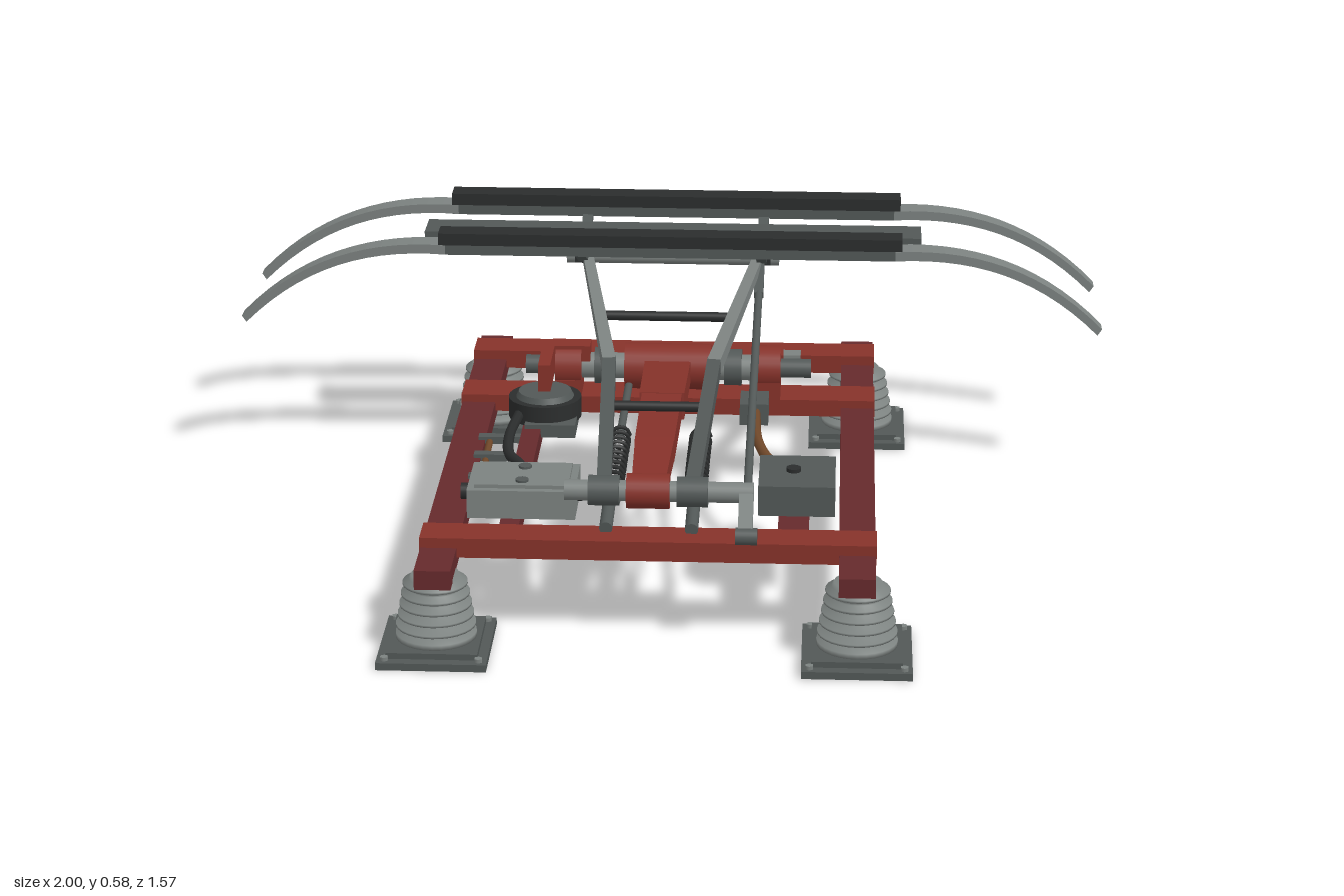
import * as THREE from 'three';

const mat = (name, color) => {
  const m = new THREE.MeshStandardMaterial({ color, side: THREE.DoubleSide });
  m.name = name;
  return m;
};
const V = (x, y, z) => new THREE.Vector3(x, y, z);

export function createModel() {
  const root = new THREE.Group();
  root.name = 'currentCollector';
  const red = mat('frameRed', 0x86322a);
  const darkRed = mat('railRed', 0x652a2c);
  const grey = mat('steelGrey', 0x525857);
  const light = mat('lightSteel', 0x7c8280);
  const black = mat('black', 0x2b2d2d);
  const copper = mat('copperBrown', 0x70482a);

  const add = (name, geo, m, parent = root) => {
    const mesh = new THREE.Mesh(geo, m);
    mesh.name = name;
    parent.add(mesh);
    return mesh;
  };
  // Box given by its limits on each axis
  const box = (name, m, x0, x1, y0, y1, z0, z1) =>
    add(name, new THREE.BoxGeometry(x1 - x0, y1 - y0, z1 - z0), m)
      .position.set((x0 + x1) / 2, (y0 + y1) / 2, (z0 + z1) / 2);
  // Round rod between two points
  const rod = (name, m, a, b, r, r2 = r, sides = 16) => {
    const d = b.clone().sub(a);
    const mesh = add(name, new THREE.CylinderGeometry(r2, r, d.length(), sides), m);
    mesh.position.copy(a).add(b).multiplyScalar(0.5);
    mesh.quaternion.setFromUnitVectors(V(0, 1, 0), d.normalize());
  };
  // Tapered rectangular beam between two points, w x h at a, w2 x h2 at b
  const beam = (name, m, a, b, w, h, w2 = w, h2 = h) => {
    const len = a.distanceTo(b);
    const geo = new THREE.BoxGeometry(w, h, len);
    const p = geo.attributes.position;
    for (let i = 0; i < p.count; i++) {
      if (p.getZ(i) > 0) p.setXY(i, p.getX(i) * w2 / w, p.getY(i) * h2 / h);
    }
    geo.computeVertexNormals();
    const mesh = add(name, geo, m);
    mesh.position.copy(a).add(b).multiplyScalar(0.5);
    mesh.lookAt(b);
  };
  const hose = (name, m, pts, r) =>
    add(name, new THREE.TubeGeometry(new THREE.CatmullRomCurve3(pts), 32, r, 8), m);
  const shaft = (name, m, x0, x1, y, z, r) => rod(name, m, V(x0, y, z), V(x1, y, z), r, r, 24);

  // Ribbed insulators on square feet
  const profile = [[0, 0.028], [0.085, 0.028], [0.085, 0.04], [0.06, 0.045]];
  for (let i = 0; i < 5; i++) {
    const y = 0.052 + i * 0.023, r = 0.084 - i * 0.004;
    profile.push([0.055, y], [r, y + 0.003], [r, y + 0.008], [0.055, y + 0.016]);
  }
  profile.push([0.05, 0.168], [0, 0.168]);
  const insulatorGeo = new THREE.LatheGeometry(profile.map(p => new THREE.Vector2(...p)), 28);
  for (const sx of [-1, 1]) for (const sz of [-1, 1]) {
    const x = sx * 0.44, z = sz * 0.66;
    box('footPlate', grey, x - 0.115, x + 0.115, 0, 0.016, z - 0.123, z + 0.123);
    box('footStep', grey, x - 0.095, x + 0.095, 0.016, 0.029, z - 0.1, z + 0.1);
    add('insulator', insulatorGeo, light).position.set(x, 0, z);
    for (const bx of [-1, 1]) for (const bz of [-1, 1]) {
      const c = V(x + bx * 0.098, 0.014, z + bz * 0.106);
      rod('footBolt', light, c, c.clone().setY(0.024), 0.009, 0.009, 6);
    }
  }

  // Base frame
  for (const s of [-1, 1]) box('sideRail', darkRed, s * 0.438 - 0.038, s * 0.438 + 0.038, 0.162, 0.204, -0.735, 0.735);
  box('frontCrossBeam', red, -0.478, 0.478, 0.183, 0.226, 0.525, 0.61);
  box('middleCrossBeam', red, -0.478, 0.478, 0.183, 0.222, -0.37, -0.27);
  box('rearCrossBeam', red, -0.478, 0.478, 0.183, 0.226, -0.655, -0.565);
  box('boxSupport', darkRed, 0.27, 0.335, 0.175, 0.215, 0.09, 0.53);
  box('drumSupport', darkRed, -0.32, -0.278, 0.175, 0.215, -0.28, 0.53);

  // Main pivot
  shaft('pivotDrum', red, -0.1, 0.1, 0.284, -0.315, 0.053);
  shaft('pivotShaft', light, -0.25, 0.25, 0.284, -0.315, 0.03);
  for (const s of [-1, 1]) {
    shaft('pivotCollar', grey, s * 0.13, s * 0.17, 0.284, -0.315, 0.042);
    box('pivotBearing', red, s * 0.23 - 0.03, s * 0.23 + 0.03, 0.215, 0.262, -0.365, -0.265);
    shaft('bearingRing', red, s * 0.2, s * 0.26, 0.284, -0.315, 0.052);
    shaft('shaftEnd', grey, s * 0.25, s * 0.33, 0.284, -0.315, 0.022);
  }

  // Lower arm with its knee
  beam('lowerArmRoot', red, V(0, 0.284, -0.3), V(0, 0.302, 0), 0.106, 0.05, 0.1, 0.062);
  beam('lowerArmMiddle', red, V(0, 0.303, -0.02), V(0, 0.318, 0.32), 0.09, 0.056, 0.085, 0.05);
  beam('lowerArmTip', red, V(0, 0.318, 0.3), V(0, 0.325, 0.57), 0.085, 0.05, 0.07, 0.04);
  shaft('kneeHub', red, -0.045, 0.045, 0.325, 0.57, 0.037);
  shaft('kneeShaft', light, -0.175, 0.22, 0.325, 0.57, 0.022);
  for (const s of [-1, 1]) shaft('kneeSleeve', grey, s * 0.06, s * 0.125, 0.325, 0.57, 0.032);

  // Upper arm tubes and cross ties
  for (const s of [-1, 1]) {
    beam('upperArmFront', grey, V(s * 0.092, 0.332, 0.58), V(s * 0.117, 0.403, 0), 0.03, 0.036);
    beam('upperArmRear', light, V(s * 0.117, 0.403, 0.01), V(s * 0.2, 0.474, -0.53), 0.03, 0.034, 0.024, 0.022);
    // Head links
    beam('headLinkFront', grey, V(s * 0.21, 0.475, -0.53), V(s * 0.21, 0.535, -0.39), 0.024, 0.018);
    beam('headLinkRear', grey, V(s * 0.21, 0.475, -0.55), V(s * 0.21, 0.535, -0.7), 0.024, 0.018);
    box('headPost', black, s * 0.21 - 0.02, s * 0.21 + 0.02, 0.465, 0.515, -0.56, -0.52);
  }
  shaft('frontTie', black, -0.1, 0.1, 0.376, 0.2, 0.011);
  shaft('rearTie', black, -0.15, 0.15, 0.43, -0.245, 0.011);
  shaft('headShaft', light, -0.25, 0.25, 0.478, -0.54, 0.018);

  // Guide rod and its crank
  beam('guideCrank', light, V(0.205, 0.325, 0.57), V(0.205, 0.268, 0.67), 0.03, 0.032);
  shaft('crankPin', grey, 0.185, 0.23, 0.268, 0.67, 0.018);
  rod('guideRod', grey, V(0.205, 0.268, 0.67), V(0.205, 0.43, -0.44), 0.009);
  beam('guideRodLink', grey, V(0.205, 0.425, -0.42), V(0.205, 0.478, -0.54), 0.022, 0.018);

  // Collector head: centre beam, strips, carriers and curved horns
  box('headBeam', grey, -0.582, 0.582, 0.505, 0.543, -0.596, -0.5);
  const horn = new THREE.Shape();
  horn.moveTo(0.52, 0.555);
  horn.bezierCurveTo(0.7, 0.565, 0.86, 0.515, 1, 0.372);
  horn.lineTo(0.99, 0.357);
  horn.bezierCurveTo(0.85, 0.497, 0.7, 0.543, 0.52, 0.533);
  const hornGeo = new THREE.ExtrudeGeometry(horn, { depth: 0.06, bevelEnabled: false, curveSegments: 14 });
  hornGeo.translate(0, 0, -0.03);
  const hp = hornGeo.attributes.position;
  for (let i = 0; i < hp.count; i++) {
    hp.setZ(i, hp.getZ(i) * (1 - 0.35 * (hp.getX(i) - 0.52) / 0.48));
  }
  hornGeo.computeVertexNormals();
  for (const z of [-0.388, -0.702]) {
    box('contactStrip', black, -0.535, 0.535, 0.555, 0.583, z - 0.029, z + 0.029);
    box('stripCarrier', grey, -0.535, 0.535, 0.531, 0.555, z - 0.025, z + 0.025);
    for (const s of [0, 1]) {
      const h = add('horn', hornGeo, light);
      h.position.z = z;
      h.rotation.y = s * Math.PI;
    }
  }

  // Lifting springs beneath the arms
  for (const s of [-1, 1]) {
    const pts = [];
    for (let i = 0; i <= 96; i++) {
      const a = i / 8 * Math.PI * 2;
      pts.push(V(s * 0.09 + 0.022 * Math.cos(a), 0.25 + 0.022 * Math.sin(a), 0.05 + 0.36 * i / 96));
    }
    add('spring', new THREE.TubeGeometry(new THREE.CatmullRomCurve3(pts), 240, 0.0045, 5), black);
    rod('springRod', grey, V(s * 0.09, 0.25, -0.29), V(s * 0.09, 0.25, 0.06), 0.009);
    rod('springAnchor', grey, V(s * 0.09, 0.25, 0.4), V(s * 0.09, 0.235, 0.56), 0.014);
  }

  // Equipment boxes
  box('valveBox', light, -0.39, -0.16, 0.222, 0.285, 0.32, 0.485);
  box('valveBoxLid', light, -0.375, -0.175, 0.285, 0.293, 0.335, 0.47);
  shaft('valveBoxPort', black, -0.41, -0.15, 0.25, 0.4, 0.018);
  for (const z of [0.365, 0.445]) rod('lidBolt', grey, V(-0.275, 0.29, z), V(-0.275, 0.298, z), 0.014);
  box('controlBox', grey, 0.226, 0.39, 0.215, 0.282, 0.24, 0.425);
  rod('controlBoxKnob', black, V(0.3, 0.28, 0.33), V(0.3, 0.29, 0.33), 0.016);

  // Air drum and its bracket
  box('drumBase', grey, -0.315, -0.2, 0.195, 0.225, -0.25, -0.07);
  rod('airDrum', black, V(-0.275, 0.215, -0.165), V(-0.275, 0.262, -0.165), 0.083, 0.083, 32);
  rod('airDrumCap', grey, V(-0.275, 0.262, -0.165), V(-0.275, 0.275, -0.165), 0.066, 0.06, 32);
  box('drumBracket', red, -0.29, -0.262, 0.275, 0.338, -0.33, -0.155);
  box('drumBracketArm', red, -0.27, -0.18, 0.3, 0.338, -0.34, -0.29);

  // Damper at the rear
  rod('damperRod', light, V(0.285, 0.285, -0.34), V(0.285, 0.258, -0.45), 0.009);
  rod('damper', grey, V(0.285, 0.262, -0.43), V(0.285, 0.21, -0.56), 0.02);
  box('damperClevis', light, 0.265, 0.305, 0.27, 0.295, -0.41, -0.37);
  box('pipeBlock', grey, 0.17, 0.235, 0.2, 0.25, -0.25, -0.16);

  // Hoses, pipes and clips
  hose('airHose', black, [V(-0.33, 0.235, -0.11), V(-0.34, 0.235, 0.02), V(-0.33, 0.235, 0.14), V(-0.295, 0.24, 0.23), V(-0.3, 0.25, 0.34)], 0.012);
  hose('copperPipe', copper, [V(0.205, 0.23, -0.17), V(0.215, 0.225, 0), V(0.245, 0.215, 0.1), V(0.295, 0.23, 0.19), V(0.3, 0.245, 0.26)], 0.012);
  hose('railPipe', copper, [V(-0.39, 0.2, -0.05), V(-0.39, 0.2, 0.2), V(-0.4, 0.22, 0.34), V(-0.385, 0.25, 0.4)], 0.008);
  for (const z of [-0.035, 0.075, 0.205]) box('pipeClip', grey, -0.415, -0.342, 0.195, 0.212, z - 0.012, z + 0.012);

  return root;
}
